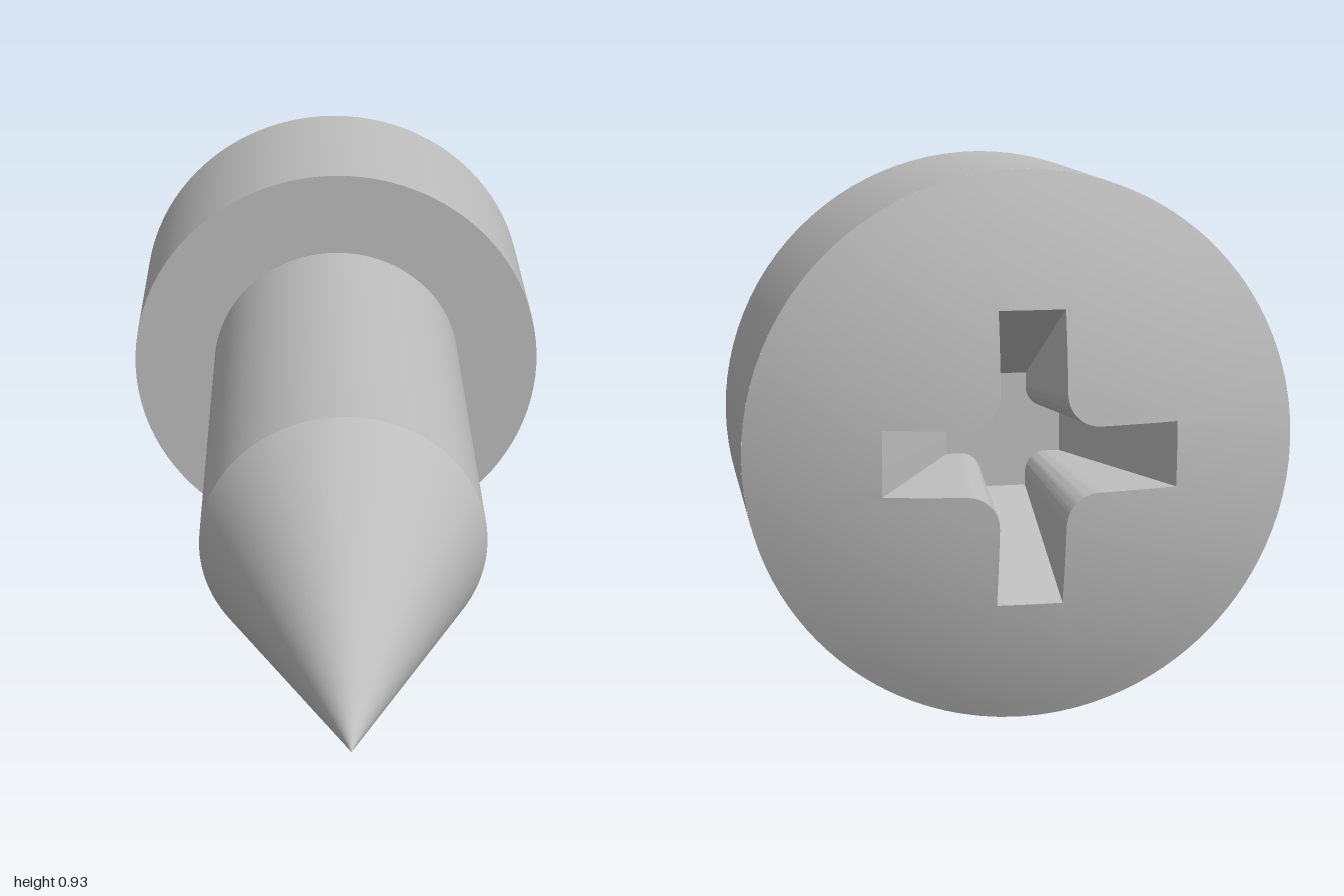
import * as THREE from 'three';
import { toCreasedNormals } from 'three/addons/utils/BufferGeometryUtils.js';

const R = 0.466;          // head radius, also the height of the axis
const RIM_Z = -0.9;       // edge where the dome meets the head's side
const APEX_Z = -1.003;    // top of the dome before the recess is cut
const CREASE = Math.PI / 7;

// Height of the spherical dome at distance r from the axis
function domeZ(r) {
  const sag = RIM_Z - APEX_Z;
  const sphere = (R * R + sag * sag) / (2 * sag);
  return APEX_Z + sphere - Math.sqrt(sphere * sphere - r * r);
}

// Cross outline as polar points: arm reach, arm half width, centre of the corner fillet
function crossOutline(reach, half, corner) {
  const a1 = Math.atan2(half, reach), a2 = Math.atan2(half, corner), a3 = Math.PI / 4;
  const fillet = corner - half;
  const eighth = [];
  for (const [from, to, n] of [[0, a1, 3], [a1, a2, 4], [a2, a3, 6]]) {
    for (let i = 0; i < n; i++) {
      const a = from + (to - from) * i / n;
      const d = corner * Math.SQRT2 * Math.cos(a - a3);
      let r = d - Math.sqrt(Math.max(0, d * d - 2 * corner * corner + fillet * fillet));
      if (from === 0) r = reach / Math.cos(a);
      else if (from === a1) r = half / Math.sin(a);
      eighth.push({ a, r });
    }
  }
  const quarter = [
    ...eighth,
    { a: a3, r: corner * Math.SQRT2 - fillet },
    ...eighth.slice(1).reverse().map(p => ({ a: Math.PI / 2 - p.a, r: p.r })),
  ];
  const loop = [];
  for (let q = 0; q < 4; q++) {
    for (const p of quarter) loop.push({ a: p.a + q * Math.PI / 2, r: p.r });
  }
  return loop;
}

// Joins loops of polar points, from the innermost outwards, facing -z
function skinLoops(loops) {
  const n = loops[0].length;
  const position = [], index = [];
  for (const loop of loops) {
    for (const p of loop) position.push(p.r * Math.cos(p.a), p.r * Math.sin(p.a), p.z);
  }
  for (let i = 0; i < loops.length - 1; i++) {
    for (let j = 0; j < n; j++) {
      const k = (j + 1) % n;
      const a = i * n + j, b = a + n, c = (i + 1) * n + k, d = i * n + k;
      if (loops[i][0].r > 0) index.push(a, d, c);
      index.push(a, c, b);
    }
  }
  const g = new THREE.BufferGeometry();
  g.setAttribute('position', new THREE.Float32BufferAttribute(position, 3));
  g.setIndex(index);
  return toCreasedNormals(g, CREASE);
}

// Turned part along z from [radius, z] pairs
function turned(profile) {
  const g = new THREE.LatheGeometry(profile.map(p => new THREE.Vector2(...p)), 96);
  g.rotateX(Math.PI / 2);
  return toCreasedNormals(g, CREASE);
}

export function createModel() {
  const model = new THREE.Group();
  model.name = 'screw';
  const steel = new THREE.MeshStandardMaterial({ color: 0xbcbcbc });
  steel.name = 'grey steel';

  const add = (name, geometry) => {
    const mesh = new THREE.Mesh(geometry, steel);
    mesh.name = name;
    mesh.position.y = R;
    model.add(mesh);
  };

  // Head side with its flat underside, shank and pointed tip
  add('head', turned([[R, RIM_Z], [R, -0.485], [0.283, -0.485]]));
  add('shank', turned([[0.283, -0.485], [0.283, 0.33]]));
  add('tip', turned([[0.283, 0.33], [0, 1]]));

  // Domed end of the head, running from the cross outline to the rim
  const mouth = crossOutline(0.245, 0.055, 0.11).map(p => ({ ...p, z: domeZ(p.r) }));
  const domeLoops = [];
  const rings = 8;
  for (let i = 0; i <= rings; i++) {
    domeLoops.push(mouth.map(({ a, r }) => {
      const s = r + (R - r) * i / rings;
      return { a, r: s, z: domeZ(s) };
    }));
  }
  add('headDome', skinLoops(domeLoops));

  // Tapered cross recess: floor centre, floor outline, mouth
  const floorZ = -0.74;
  const floor = crossOutline(0.1, 0.04, 0.075).map(p => ({ ...p, z: floorZ }));
  const centre = floor.map(p => ({ a: p.a, r: 0, z: floorZ }));
  add('crossRecess', skinLoops([centre, floor, mouth]));

  return model;
}
